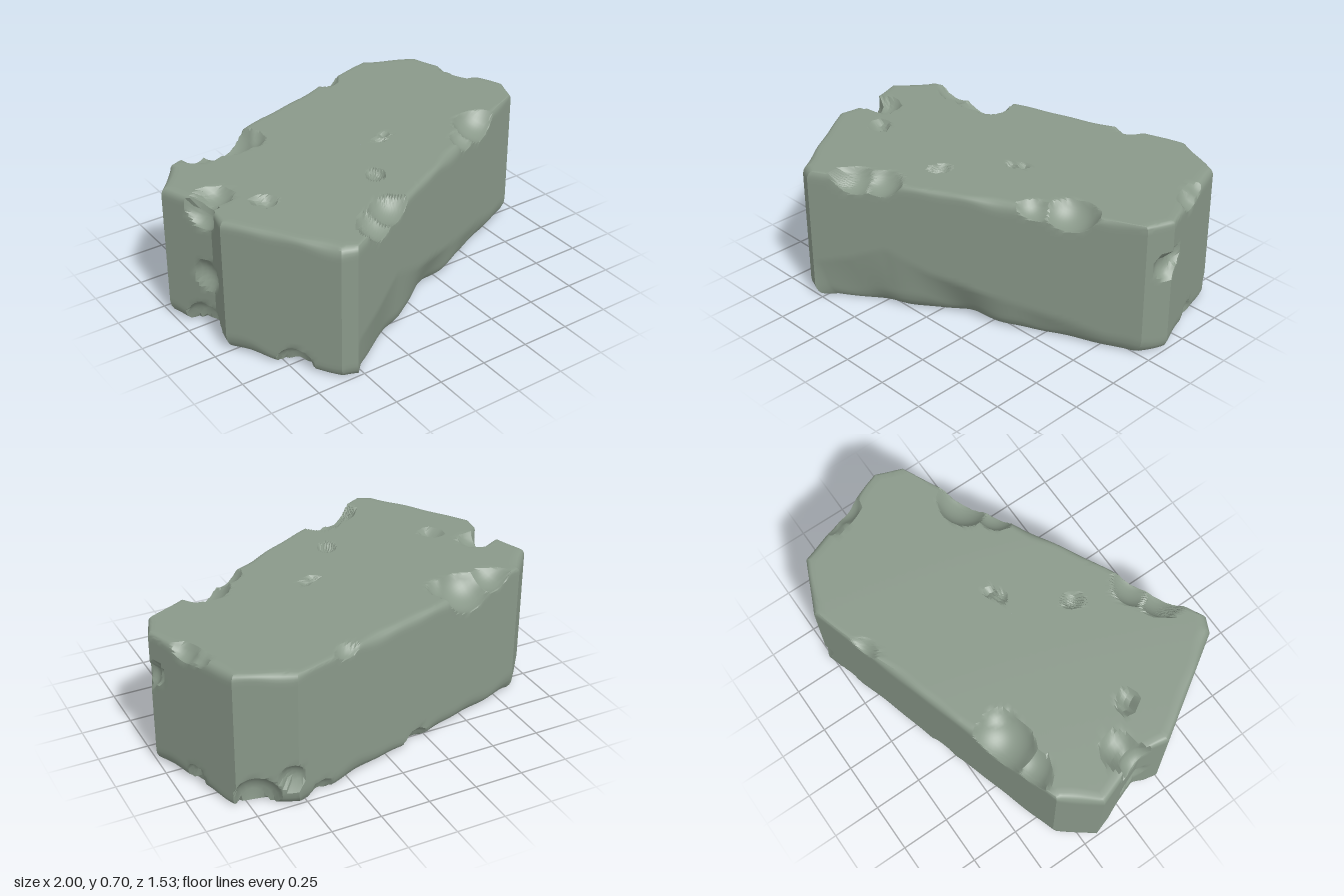
import * as THREE from 'three';
import { toCreasedNormals } from 'three/addons/utils/BufferGeometryUtils.js';

const HEIGHT = 0.705;
// Plan of the block, x and z
const PLAN = [[-0.86, -0.35], [0.55, -0.77], [0.81, -0.65], [1, -0.13], [0.95, 0],
  [-0.54, 0.76], [-0.61, 0.73], [-0.93, 0.24], [-0.9, 0.1], [-1, -0.18]];
const FRONT_EDGE = 4;
// Upper limit of the broken strip along the foot of the front face, x and y
const BREAK = [[-0.6, 0.12], [-0.54, 0.2], [-0.36, 0.26], [-0.2, 0.345], [0, 0.25], [0.2, 0.2], [0.95, 0.05]];
// Rounded chips and pits: x, y, z, radius
const CHIPS = [
  [-0.52, 0.76, -0.42, 0.17], [-0.68, 0.77, -0.38, 0.13], [-0.43, 0.76, -0.37, 0.11],
  [-0.33, 0.75, 0.65, 0.13], [-0.22, 0.76, 0.58, 0.13],
  [0.48, 0.75, 0.25, 0.11], [0.62, 0.76, 0.16, 0.15],
  [0.94, 0.74, -0.36, 0.1], [0.91, 0.75, -0.45, 0.09], [0.25, 0.75, -0.7, 0.09],
  [-0.83, 0.75, 0.02, 0.1], [-0.95, 0.66, 0.06, 0.1], [-0.97, 0.32, 0.08, 0.1],
  [1.02, 0.47, -0.1, 0.08], [1, 0.5, -0.17, 0.06],
  [-0.66, 0.72, 0.2, 0.055], [-0.68, 0.72, 0.17, 0.045], [-0.11, 0.72, 0.28, 0.05], [0.1, 0.72, 0.01, 0.035], [0.15, 0.72, -0.02, 0.035],
  [0.93, 0.04, -0.4, 0.07], [0.58, 0.16, -0.8, 0.08], [0.74, 0.05, -0.73, 0.12],
  [0.4, 0, -0.77, 0.09], [-0.2, -0.01, -0.6, 0.1], [-0.96, 0.02, 0.05, 0.13], [-0.76, 0.01, 0.55, 0.1]
];

function breakHeight(x) {
  for (let k = 1; k < BREAK.length; k++) {
    const [x0, y0] = BREAK[k - 1], [x1, y1] = BREAK[k];
    if (x >= x0 && x <= x1) return y0 + (y1 - y0) * (x - x0) / (x1 - x0);
  }
  return 0;
}

// Uneven wear along the perimeter, between 0 and 1
const wear = (s, phase) => 0.5 + 0.22 * Math.sin(s * 5.3 + phase) + 0.17 * Math.sin(s * 11.7 + phase * 2.3) + 0.11 * Math.sin(s * 23 + phase);

function carve(p) {
  for (const [x, y, z, r] of CHIPS) {
    const c = new THREE.Vector3(x, y, z), q = p.clone().sub(c);
    if (q.length() >= r) continue;
    const dir = new THREE.Vector3(x * 0.8, 0.35, z * 0.8).sub(c).normalize();
    const along = q.dot(dir);
    p.addScaledVector(dir, -along + Math.sqrt(along * along - q.lengthSq() + r * r));
  }
  p.y = THREE.MathUtils.clamp(p.y, 0, HEIGHT);
}

function blockGeometry() {
  // Evenly divided outline that keeps every corner
  const outline = [];
  let run = 0;
  PLAN.forEach(([x, z], e) => {
    const [nx, nz] = PLAN[(e + 1) % PLAN.length], len = Math.hypot(nx - x, nz - z);
    const n = Math.ceil(len / 0.02);
    for (let k = 0; k < n; k++) {
      const t = k / n;
      outline.push({ x: x + (nx - x) * t, z: z + (nz - z) * t, s: run + len * t, front: e === FRONT_EDGE });
    }
    run += len;
  });

  // Levels from the centre of the underside, up the walls, to the centre of the top
  const levels = [];
  const CAP = 32, WALL = 28, BEVEL = 4;
  for (let k = 0; k < CAP; k++) levels.push({ scale: 0.002 + 0.998 * k / CAP, cap: 0 });
  for (let k = 0; k <= BEVEL; k++) levels.push({ bevel: k / BEVEL, cap: 0 });
  for (let k = 1; k < WALL; k++) levels.push({ wall: k / WALL });
  for (let k = BEVEL; k >= 0; k--) levels.push({ bevel: k / BEVEL, cap: 1 });
  for (let k = CAP - 1; k >= 0; k--) levels.push({ scale: 0.002 + 0.998 * k / CAP, cap: 1 });

  const pos = [], index = [], n = outline.length, p = new THREE.Vector3();
  levels.forEach((level, j) => {
    outline.forEach((o, i) => {
      const low = 0.02 + 0.06 * wear(o.s, 1), high = 0.01 + 0.035 * wear(o.s, 4);
      const size = level.cap ? high : low;
      const strip = o.front ? breakHeight(o.x) : 0;
      let inset = 0, y, scale = 1;
      if (level.wall !== undefined) {
        y = low * 1.3 + (HEIGHT - high * 1.3 - low * 1.3) * level.wall;
      } else {
        const a = (level.bevel ?? 0) * Math.PI / 2;
        inset = size * (1 - Math.sin(a));
        y = size * 1.3 * (1 - Math.cos(a));
        if (level.bevel === undefined) y = 0;
        if (level.cap) y = HEIGHT - y;
        scale = level.scale ?? 1;
      }
      // Sloping break along the front foot
      if (y < strip) inset += (0.065 + 0.025 * Math.sin(o.x * 13)) * (1 - y / strip) * Math.min(1, strip / 0.2);
      const f = scale * (1 - inset / Math.hypot(o.x, o.z));
      p.set(o.x * f, y, o.z * f);
      carve(p);
      pos.push(p.x, p.y, p.z);
      if (j < levels.length - 1) {
        const a = j * n + i, b = j * n + (i + 1) % n;
        index.push(a, a + n, b, b, a + n, b + n);
      }
    });
  });
  const g = new THREE.BufferGeometry();
  g.setAttribute('position', new THREE.Float32BufferAttribute(pos, 3));
  g.setIndex(index);
  return toCreasedNormals(g, 0.5);
}

export function createModel() {
  const group = new THREE.Group();
  group.name = 'stone';
  const block = new THREE.Mesh(blockGeometry(), new THREE.MeshStandardMaterial({ color: 0x8a998a }));
  block.name = 'stoneBlock';
  group.add(block);
  return group;
}
